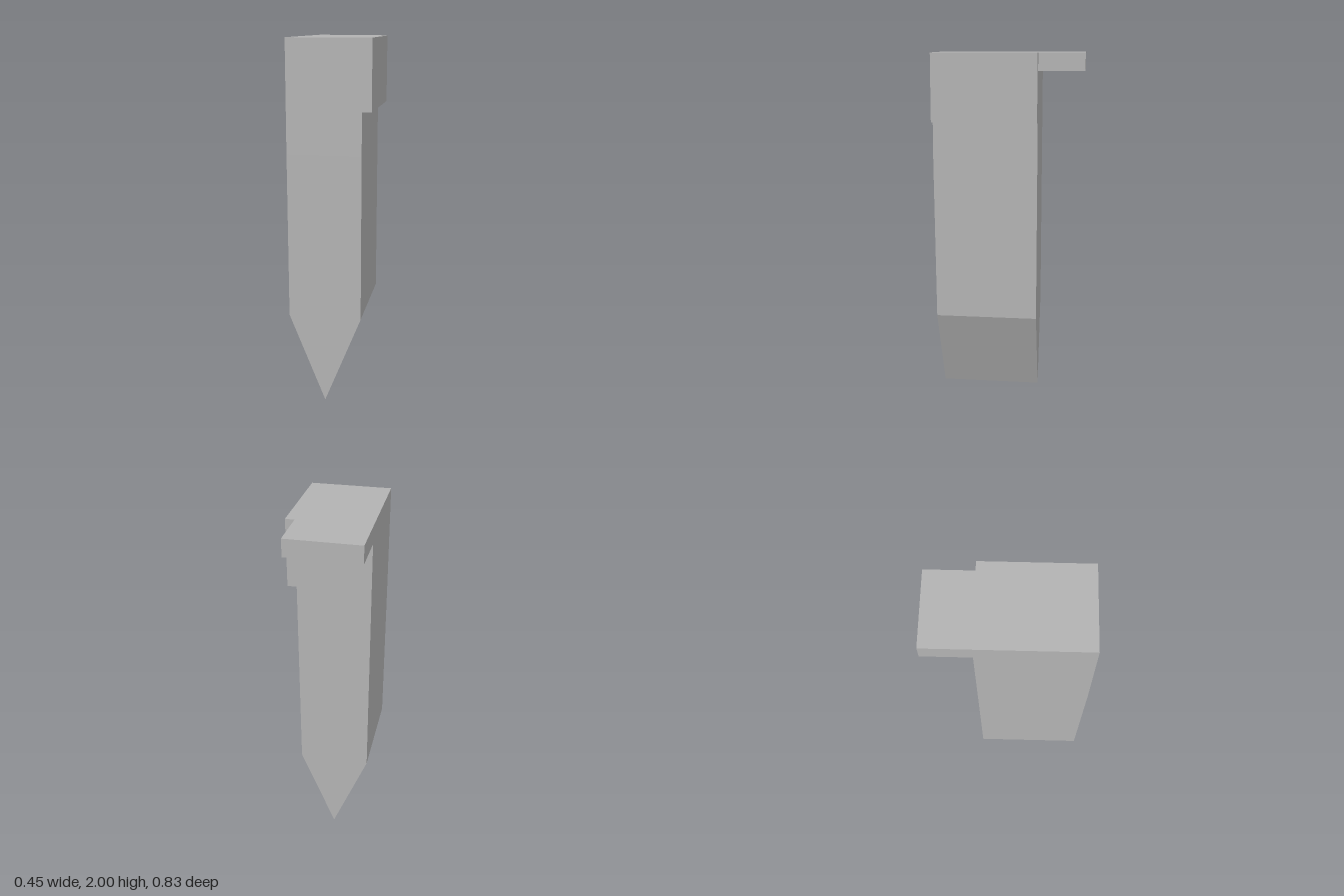
import * as THREE from 'three';

const BACK = -0.165, FRONT = 0.415, BEND = 1.4;

export function createModel() {
  const group = new THREE.Group();
  const grey = new THREE.MeshStandardMaterial({ color: 0xb2b2b2 });
  grey.name = 'grey';

  // Extrudes an outline from z0 to z1; the front leans back slightly above the bend
  function slab(name, outline, z0, z1) {
    const shape = new THREE.Shape(outline.map(([x, y]) => new THREE.Vector2(x, y)));
    const geo = new THREE.ExtrudeGeometry(shape, { depth: z1 - z0, bevelEnabled: false });
    geo.translate(0, 0, z0);
    const p = geo.attributes.position;
    for (let i = 0; i < p.count; i++) {
      if (p.getZ(i) > 0.3 && p.getY(i) > BEND) {
        p.setZ(i, p.getZ(i) - 0.007 * (p.getY(i) - BEND) / (2 - BEND));
      }
    }
    geo.computeVertexNormals();
    const mesh = new THREE.Mesh(geo, grey);
    mesh.name = name;
    group.add(mesh);
  }

  // Lower shaft ending in a wedge tip
  slab('pointedShaft', [
    [-0.025, 0], [0.175, 0.5], [0.175, BEND], [-0.225, BEND], [-0.225, 0.5],
  ], BACK, FRONT);

  // Upper shaft with the side step
  slab('steppedHead', [
    [-0.225, BEND], [0.175, BEND], [0.175, 1.63], [0.225, 1.63], [0.225, 2], [-0.225, 2],
  ], BACK, FRONT);

  // Thin ledge overhanging the back
  slab('rearLedge', [
    [-0.225, 1.905], [0.175, 1.905], [0.175, 2], [-0.225, 2],
  ], -0.415, BACK);

  return group;
}
